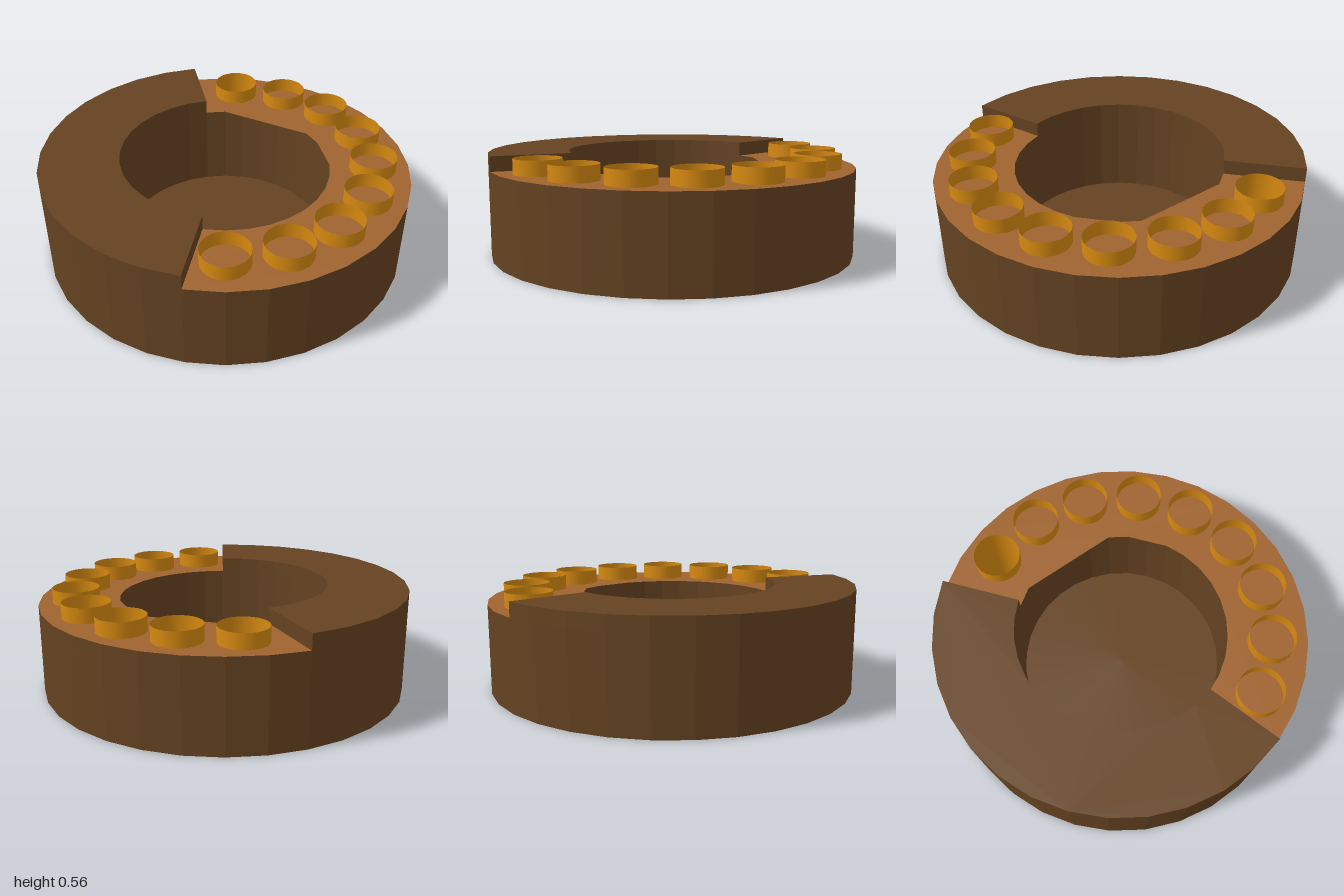
import * as THREE from 'three';

const SIDES = 32, STEP = Math.PI * 2 / SIDES;
const OUTER = 1, INNER = 0.57, LOW = 0.48, HIGH = 0.56, FLOOR = 0.005;
const TUBES = 9, TUBE_RADIUS = 0.125, TUBE_RING = 0.8;

const brown = new THREE.MeshStandardMaterial({ color: 0x654321, flatShading: true, side: THREE.DoubleSide });
const tan = new THREE.MeshStandardMaterial({ color: 0xa06430, flatShading: true, side: THREE.DoubleSide });
const amber = new THREE.MeshStandardMaterial({ color: 0xd68910, side: THREE.DoubleSide });

function add(group, name, geometry, material) {
  const mesh = new THREE.Mesh(geometry, material);
  mesh.name = name;
  group.add(mesh);
  return mesh;
}

// Point on a circle in plan; shape y maps to -z
const at = (r, i) => new THREE.Vector2(r * Math.cos(i * STEP), r * Math.sin(i * STEP));

// Sector outline between two facet numbers, leaving out some inner corners
function sector(from, to, skipped = []) {
  const points = [];
  for (let i = from; i <= to; i++) points.push(at(OUTER, i));
  for (let i = to; i >= from; i--) if (!skipped.includes(i)) points.push(at(INNER, i));
  return new THREE.Shape(points);
}

// Open cylinder wall whose facets line up with the plan outline
function wall(radius, bottom, top, sides) {
  const g = new THREE.CylinderGeometry(radius, radius, top - bottom, sides, 1, true);
  return g.translate(0, (top + bottom) / 2, 0);
}

export function createModel() {
  const model = new THREE.Group();
  model.name = 'ringTray';

  // Body: outer wall, well wall, closed underside
  add(model, 'outerWall', wall(OUTER, 0, LOW, SIDES), brown);
  add(model, 'wellWall', wall(INNER, 0, LOW, SIDES), brown);
  const base = new THREE.CylinderGeometry(OUTER, OUTER, FLOOR, SIDES);
  add(model, 'base', base.translate(0, FLOOR / 2, 0), brown);

  // Raised step over a little less than half of the ring
  const raised = new THREE.ExtrudeGeometry(sector(9, 23), { depth: HIGH - LOW, bevelEnabled: false });
  add(model, 'raisedStep', raised.rotateX(-Math.PI / 2).translate(0, LOW, 0), brown);

  // Lower shelf, with straight cuts across the well and one open hole
  const tubeAngle = i => THREE.MathUtils.degToRad(85 - i * 175 / (TUBES - 1));
  const outline = sector(-9, 9, [1, 4, 5, 6, 7]);
  const a = tubeAngle(0);
  const hole = new THREE.Path();
  hole.absarc(TUBE_RING * Math.cos(a), TUBE_RING * Math.sin(a), TUBE_RADIUS, 0, Math.PI * 2, true);
  outline.holes.push(hole);
  add(model, 'shelf', new THREE.ShapeGeometry(outline, 12).rotateX(-Math.PI / 2).translate(0, LOW, 0), tan);

  // Open tubes standing along the shelf
  const tubeGeometry = wall(TUBE_RADIUS, FLOOR, HIGH, 24);
  for (let i = 0; i < TUBES; i++) {
    const t = tubeAngle(i);
    const tube = add(model, 'tube' + (i + 1), tubeGeometry, amber);
    tube.position.set(TUBE_RING * Math.cos(t), 0, -TUBE_RING * Math.sin(t));
  }
  return model;
}
